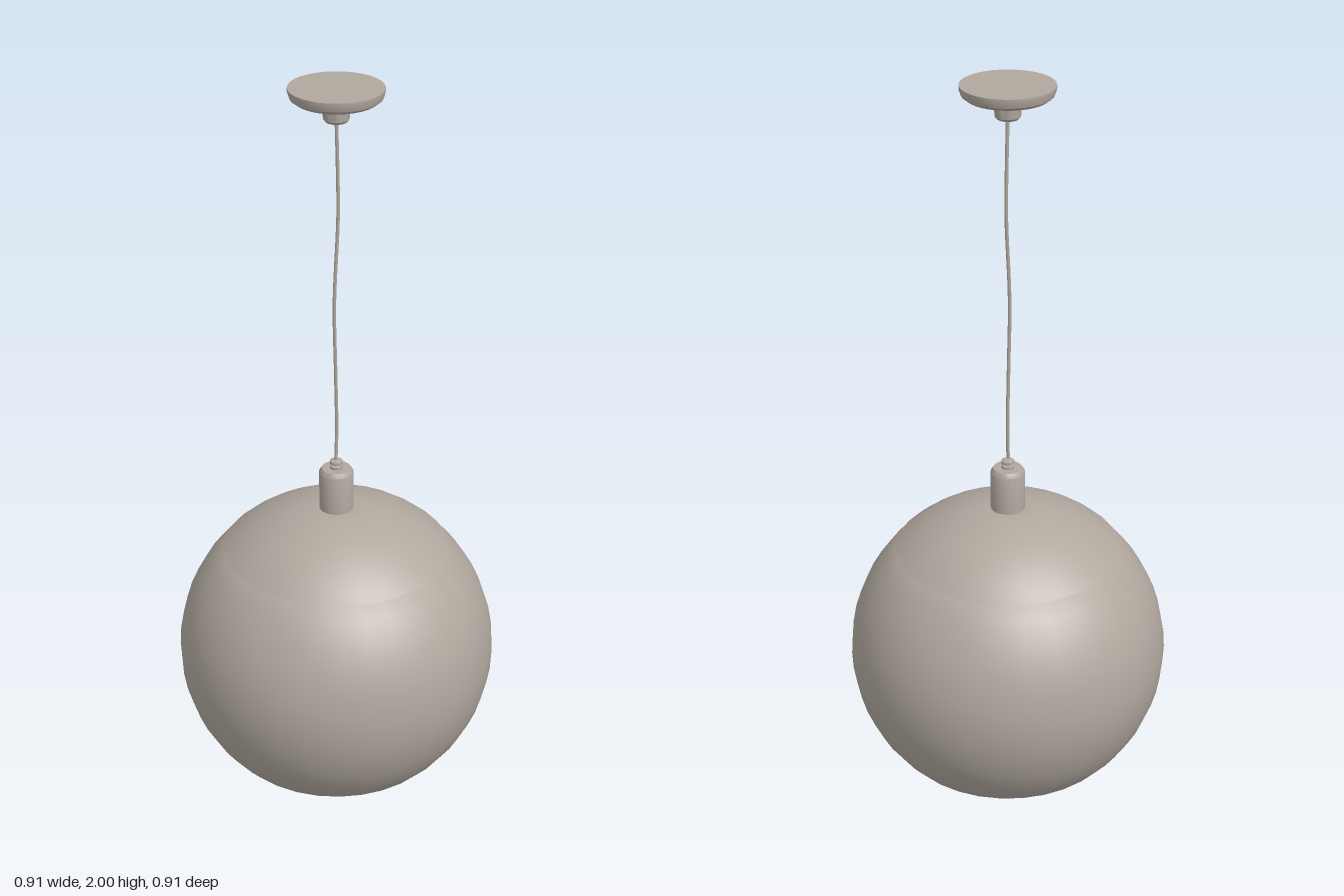
import * as THREE from 'three';
import { toCreasedNormals } from 'three/addons/utils/BufferGeometryUtils.js';

const SPHERE_Y = 0.322;
const SPHERE_R = 0.453;

export function createModel() {
  const group = new THREE.Group();
  const metal = new THREE.MeshStandardMaterial({ color: 0xb0a79e, side: THREE.DoubleSide });
  metal.name = 'warm grey metal';

  const add = (name, geometry) => {
    const mesh = new THREE.Mesh(geometry, metal);
    mesh.name = name;
    group.add(mesh);
    return mesh;
  };

  // Turned part from [radius, height] pairs, listed bottom to top on the outside
  const lathe = (name, points, segments = 32) => add(name, toCreasedNormals(
    new THREE.LatheGeometry(points.map(([r, y]) => new THREE.Vector2(r, y)), segments), 0.6));

  // Points along the sphere's profile between two heights
  const arc = (radius, y0, y1, steps) => {
    const a0 = Math.asin(Math.max(-1, Math.min(1, (y0 - SPHERE_Y) / radius)));
    const a1 = Math.asin(Math.max(-1, Math.min(1, (y1 - SPHERE_Y) / radius)));
    return Array.from({ length: steps + 1 }, (_, i) => {
      const a = a0 + (a1 - a0) * i / steps;
      return [Math.max(0, Math.cos(a) * radius), SPHERE_Y + Math.sin(a) * radius];
    });
  };

  // Open globe: outer skin, then inner skin back down to the rim
  const outer = arc(SPHERE_R, 0, 0.65, 14);
  const inner = arc(SPHERE_R - 0.008, 0, 0.66, 14).reverse();
  lathe('shade', [...outer, ...inner, outer[0]]);

  // Cap sitting slightly proud of the globe
  const capOuter = arc(SPHERE_R + 0.003, 0.648, 0.777, 7);
  const capInner = arc(SPHERE_R - 0.008, 0.648, 0.767, 7).reverse();
  lathe('shadeCap', [...capOuter, ...capInner, capOuter[0]]);

  // Lamp holder and cord grip
  lathe('socket', [[0, 0.76], [0.048, 0.76], [0.048, 0.888], [0.04, 0.9], [0, 0.9]], 24);
  lathe('cordGrip', [[0.018, 0.898], [0.018, 0.908], [0.013, 0.911], [0.018, 0.914],
    [0.018, 0.922], [0.008, 0.928], [0, 0.928]], 16);

  // Slightly wavy cord
  const path = new THREE.CatmullRomCurve3([
    [0, 0.92, 0.004], [0, 1.02, -0.003], [-0.002, 1.2, 0], [-0.004, 1.4, 0.004],
    [0.003, 1.65, -0.005], [0.002, 1.78, -0.004], [0, 1.92, 0],
  ].map(p => new THREE.Vector3(...p)));
  add('cord', new THREE.TubeGeometry(path, 40, 0.005, 8));

  // Ceiling canopy with its cord collar
  lathe('ceilingCanopy', [[0, 1.91], [0.028, 1.91], [0.034, 1.917], [0.036, 1.945], [0.05, 1.953],
    [0.085, 1.96], [0.108, 1.966], [0.12, 1.975], [0.125, 1.99], [0.125, 2], [0, 2]]);

  return group;
}
